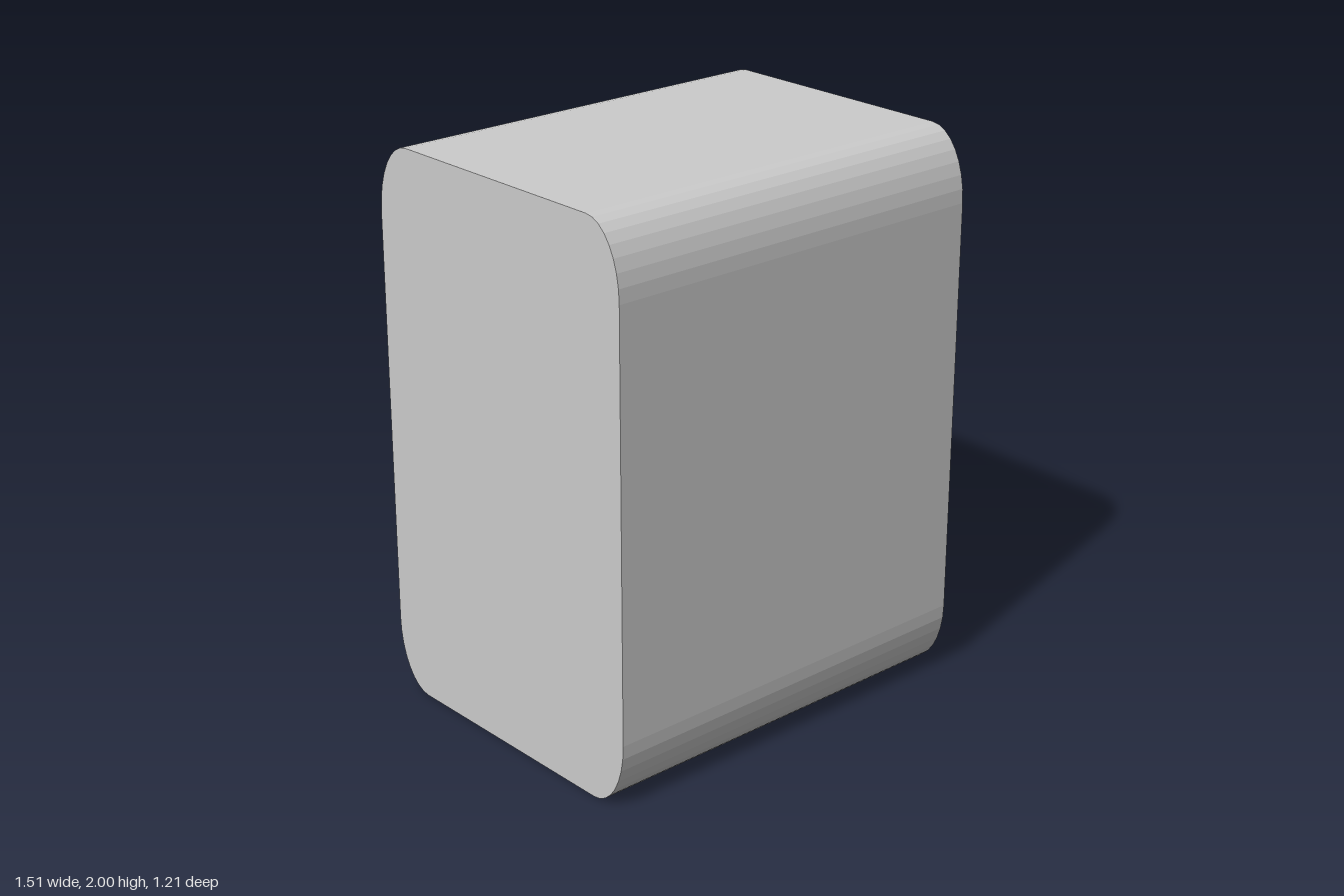
import * as THREE from 'three';

const W = 0.605, H = 2, FRONT = 0.753;   // half width, height, half depth
const RX = 0.15, RY = 0.25, STEPS = 8;   // elliptical corners

const mat = (flatShading = false, side = THREE.FrontSide) =>
  new THREE.MeshStandardMaterial({ color: 0xcccccc, flatShading, side });

function add(parent, name, geometry, material) {
  const mesh = new THREE.Mesh(geometry, material);
  mesh.name = name;
  parent.add(mesh);
  return mesh;
}

// Counter-clockwise cabinet outline with elliptical corners
function outline() {
  const pts = [];
  const corners = [[1, 1], [-1, 1], [-1, -1], [1, -1]];
  corners.forEach(([sx, sy], c) => {
    for (let i = 0; i <= STEPS; i++) {
      const a = (c + i / STEPS) * Math.PI / 2;
      pts.push(new THREE.Vector2(
        sx * (W - RX) + RX * Math.cos(a),
        H / 2 + sy * (H / 2 - RY) + RY * Math.sin(a)));
    }
  });
  return pts;
}

// Wall joining the back and front outlines
function wallGeometry(pts) {
  const pos = [];
  pts.forEach((a, i) => {
    const b = pts[(i + 1) % pts.length];
    pos.push(a.x, a.y, -FRONT, b.x, b.y, -FRONT, b.x, b.y, FRONT);
    pos.push(a.x, a.y, -FRONT, b.x, b.y, FRONT, a.x, a.y, FRONT);
  });
  const g = new THREE.BufferGeometry();
  g.setAttribute('position', new THREE.Float32BufferAttribute(pos, 3));
  g.computeVertexNormals();
  return g;
}

// One driver: recessed funnel, back disc, surround ring and dome
function driver(name, d) {
  const group = new THREE.Group();
  group.name = name;

  // The funnel narrows to a slightly raised centre
  const funnel = new THREE.CylinderGeometry(d.outer, d.inner, d.depth, 32, 1, true);
  funnel.rotateX(Math.PI / 2).translate(0, 0, -d.depth / 2);
  const p = funnel.attributes.position;
  for (let i = 0; i < p.count; i++) {
    p.setY(i, p.getY(i) - (p.getZ(i) / d.depth) * d.lift);
  }
  add(group, name + 'Funnel', funnel, mat(true, THREE.DoubleSide));

  const disc = add(group, name + 'Cone', new THREE.CircleGeometry(d.inner, 48), mat());
  disc.position.set(0, d.lift, -d.depth);

  const ring = add(group, name + 'Surround',
    new THREE.TorusGeometry(d.ring, d.tube, 16, 64), mat());
  ring.position.set(0, d.lift, -d.ringDepth);

  const dome = add(group, name + 'Dome', new THREE.SphereGeometry(d.dome, 40, 24), mat());
  dome.scale.z = d.bulge / d.dome;
  dome.position.set(0, d.lift, -d.domeDepth);

  group.position.set(0, d.y, FRONT);
  return group;
}

export function createModel() {
  const model = new THREE.Group();
  model.name = 'speaker';

  const drivers = {
    tweeter: { y: 1.57, outer: 0.303, inner: 0.235, depth: 0.075, lift: 0.008,
      ring: 0.19, tube: 0.045, ringDepth: 0.065, dome: 0.143, bulge: 0.05, domeDepth: 0.06 },
    woofer: { y: 0.66, outer: 0.493, inner: 0.335, depth: 0.15, lift: 0.012,
      ring: 0.307, tube: 0.031, ringDepth: 0.125, dome: 0.173, bulge: 0.08, domeDepth: 0.11 },
  };

  // Cabinet: wall, back panel and front baffle with driver openings
  const pts = outline();
  const cabinet = new THREE.Group();
  cabinet.name = 'cabinet';
  add(cabinet, 'cabinetWall', wallGeometry(pts), mat(true));

  const back = add(cabinet, 'backPanel', new THREE.ShapeGeometry(new THREE.Shape(pts)), mat());
  back.rotation.y = Math.PI;
  back.position.z = -FRONT;

  const face = new THREE.Shape(pts);
  for (const d of Object.values(drivers)) {
    const hole = [];
    for (let i = 0; i < 32; i++) {
      const a = i / 32 * Math.PI * 2;
      hole.push(new THREE.Vector2(d.outer * Math.sin(a), d.y + d.outer * Math.cos(a)));
    }
    face.holes.push(new THREE.Path(hole));
  }
  add(cabinet, 'frontBaffle', new THREE.ShapeGeometry(face), mat()).position.z = FRONT;

  // The baffle looks towards +x
  const turned = new THREE.Group();
  turned.name = 'speakerBody';
  turned.add(cabinet);
  for (const [name, d] of Object.entries(drivers)) turned.add(driver(name, d));
  turned.rotation.y = Math.PI / 2;
  model.add(turned);
  return model;
}
